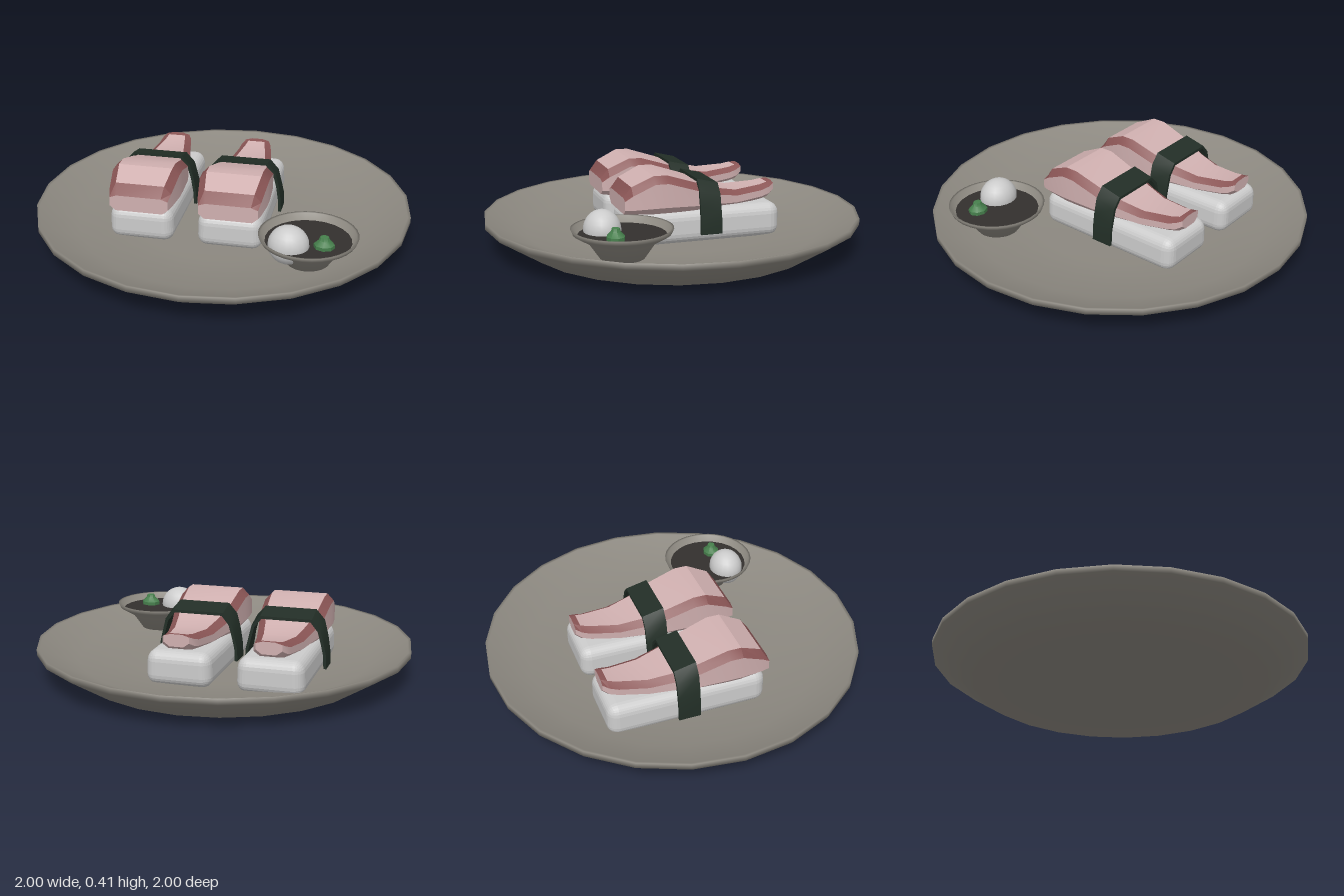
import * as THREE from 'three';
import { toCreasedNormals } from 'three/addons/utils/BufferGeometryUtils.js';
import { RoundedBoxGeometry } from 'three/addons/geometries/RoundedBoxGeometry.js';

const paint = (color) => new THREE.MeshStandardMaterial({ color });
const plateMat = paint(0x8c8880);
const riceMat = paint(0xcccccc);
const fleshMat = paint(0xd0b0b0);
const stripeMat = paint(0x8a5555);
const bandMat = paint(0x222e26);
const sauceMat = paint(0x33302e);
const greenMat = paint(0x467f4c);

function add(parent, name, geometry, material, x = 0, y = 0, z = 0) {
  const mesh = new THREE.Mesh(geometry, material);
  mesh.name = name;
  mesh.position.set(x, y, z);
  parent.add(mesh);
  return mesh;
}

const lathe = (pts, sides) =>
  new THREE.LatheGeometry(pts.map(([r, y]) => new THREE.Vector2(r, y)), sides);

// Rice block, slightly narrower towards both ends and the top
function riceGeometry() {
  const g = new RoundedBoxGeometry(0.37, 0.18, 0.84, 3, 0.055);
  const p = g.attributes.position;
  for (let i = 0; i < p.count; i++) {
    const t = p.getZ(i) / 0.42;
    p.setX(i, p.getX(i) * (1 - 0.1 * t * t) * (1 - 0.4 * Math.max(0, p.getY(i))));
  }
  g.computeVertexNormals();
  return g;
}

// Fish cross-sections from front to back: z, half width, top, shoulder, lower edge, bottom
const sections = [
  [0.325, 0.155, 0.305, 0.292, 0.245, 0.22],
  [0.285, 0.165, 0.36, 0.32, 0.245, 0.215],
  [0.17, 0.18, 0.413, 0.375, 0.25, 0.215],
  [0.1, 0.18, 0.413, 0.375, 0.25, 0.215],
  [-0.06, 0.17, 0.362, 0.325, 0.245, 0.215],
  [-0.18, 0.143, 0.32, 0.29, 0.24, 0.215],
  [-0.3, 0.12, 0.296, 0.272, 0.235, 0.215],
  [-0.45, 0.092, 0.308, 0.284, 0.25, 0.23],
  [-0.495, 0.083, 0.318, 0.298, 0.262, 0.24],
  [-0.525, 0.066, 0.322, 0.312, 0.28, 0.258],
];

// Eight-cornered loft, split into pale flesh and dark bevel stripes
function fishGeometries() {
  const rings = sections.map(([z, w, top, shoulder, low, bottom]) => {
    const half = [[w - 0.036, top], [w, shoulder], [w, low], [w - 0.03, bottom]];
    return [...half, ...half.map(([x, y]) => [-x, y]).reverse()]
      .map(([x, y]) => new THREE.Vector3(x, y, z));
  });
  const flesh = [], stripe = [];
  const last = rings.length - 1;
  for (let s = 0; s < last; s++) {
    for (let j = 0; j < 8; j++) {
      const k = (j + 1) % 8;
      const [a, b, c, d] = [rings[s][j], rings[s][k], rings[s + 1][k], rings[s + 1][j]];
      const endTop = j === 7 && (s === 0 || s === last - 1);
      (j === 0 || j === 6 || endTop ? stripe : flesh).push(a, b, c, a, c, d);
    }
  }
  for (let j = 1; j < 7; j++) {
    flesh.push(rings[0][0], rings[0][j + 1], rings[0][j]);
    flesh.push(rings[last][0], rings[last][j], rings[last][j + 1]);
  }
  return [flesh, stripe].map((pts) =>
    toCreasedNormals(new THREE.BufferGeometry().setFromPoints(pts), 0.4));
}

// Seaweed strip bent over the fish and down both sides
function bandGeometry() {
  const outer = [[0.215, 0.1], [0.212, 0.17], [0.2, 0.25], [0.18, 0.33], [0.135, 0.382]];
  const inner = [[0.2, 0.1], [0.197, 0.17], [0.185, 0.25], [0.166, 0.32], [0.128, 0.367]];
  const mirror = (pts) => pts.map(([x, y]) => [-x, y]).reverse();
  const outline = [...outer, ...mirror(outer), ...inner.map(([x, y]) => [-x, y]), ...mirror(inner).map(([x, y]) => [-x, y])];
  // the inner run returns from the left foot to the right foot
  outline.splice(10, 10, ...inner.map(([x, y]) => [-x, y]), ...[...inner].reverse());
  const shape = new THREE.Shape(outline.map(([x, y]) => new THREE.Vector2(x, y)));
  const g = new THREE.ExtrudeGeometry(shape, { depth: 0.115, bevelEnabled: false });
  g.translate(0, 0, -0.18);
  const p = g.attributes.position;
  for (let i = 0; i < p.count; i++) {
    // follow the fall of the fish towards its tail
    if (p.getY(i) > 0.2) p.setY(i, p.getY(i) + (p.getZ(i) + 0.065) * 0.24);
  }
  return toCreasedNormals(g, 0.5);
}

export function createModel() {
  const model = new THREE.Group();
  model.name = 'sushiPlate';

  // Shallow serving plate
  add(model, 'plate', lathe([
    [0, 0], [0.78, 0], [1, 0.14], [1, 0.172], [0.985, 0.168],
    [0.78, 0.08], [0.45, 0.05], [0, 0.05],
  ], 24), plateMat);

  // Two pieces of sushi
  const rice = riceGeometry();
  const [flesh, stripe] = fishGeometries();
  const band = bandGeometry();
  for (const [name, x] of [['rightSushi', -0.38], ['leftSushi', 0.09]]) {
    const piece = new THREE.Group();
    piece.name = name;
    piece.position.x = x;
    add(piece, 'rice', rice, riceMat, 0, 0.135, -0.108);
    add(piece, 'fishFlesh', flesh, fleshMat);
    add(piece, 'fishStripe', stripe, stripeMat);
    add(piece, 'seaweedBand', band, bandMat);
    model.add(piece);
  }

  // Sauce dish with condiments
  const dish = new THREE.Group();
  dish.name = 'sauceDish';
  dish.position.set(0.515, 0, 0.415);
  add(dish, 'bowl', lathe([
    [0, 0.085], [0.11, 0.09], [0.165, 0.17], [0.24, 0.215], [0.25, 0.238],
    [0.238, 0.236], [0.215, 0.2], [0.15, 0.175], [0, 0.17],
  ], 32), plateMat);
  const sauce = new THREE.CircleGeometry(0.217, 24).rotateX(-Math.PI / 2);
  add(dish, 'sauce', sauce, sauceMat, 0, 0.204, 0);

  const radish = add(dish, 'radishMound', new THREE.SphereGeometry(1, 20, 14), riceMat, -0.088, 0.212, 0.077);
  radish.scale.set(0.103, 0.1, 0.093);

  const paste = lathe([
    [0, 0.19], [0.052, 0.195], [0.052, 0.222], [0.028, 0.245], [0.022, 0.262], [0, 0.266],
  ], 8);
  const mound = add(dish, 'greenPaste', toCreasedNormals(paste, 0.6), greenMat, 0.085, 0, 0.055);
  mound.scale.z = 0.88;
  model.add(dish);

  return model;
}
